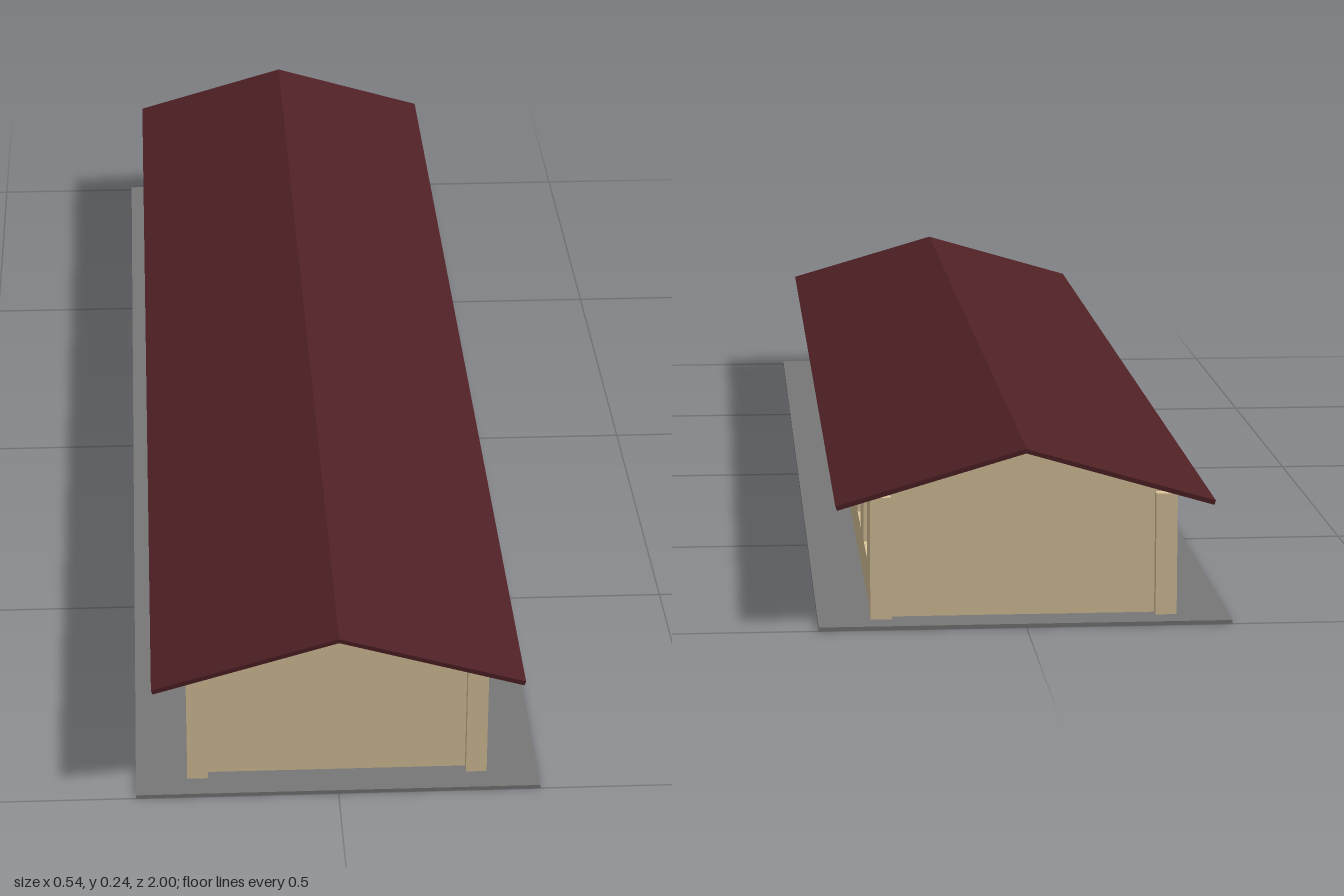
import * as THREE from 'three';

const BASE = 0.005;          // top of the ground slab
const WALL_X = 0.2, CORE_X = 0.188, EAVE = 0.168;

const mat = (color) => new THREE.MeshStandardMaterial({ color, flatShading: true });
const mats = {
  wall: mat(0xddc79e), roof: mat(0x4f2025), slab: mat(0x777777),
  glass: mat(0x525d6a), wood: mat(0x84602c),
};

function add(group, name, geometry, material, x = 0, y = 0, z = 0) {
  const mesh = new THREE.Mesh(geometry, material);
  mesh.name = name;
  mesh.position.set(x, y, z);
  group.add(mesh);
  return mesh;
}

const polygon = (points) => new THREE.Shape(points.map(([x, y]) => new THREE.Vector2(x, y)));
const rect = (x0, x1, y0, y1) => [[x0, y0], [x1, y0], [x1, y1], [x0, y1]];

// Extrusion along z, centred on z = 0
function prism(points, length) {
  const g = new THREE.ExtrudeGeometry(polygon(points), { depth: length, bevelEnabled: false });
  return g.translate(0, 0, -length / 2);
}

// Long outer wall with recessed openings; side is +1 or -1 in x
function longWall(side, openings) {
  const wall = new THREE.Group();
  wall.name = side > 0 ? 'leftWall' : 'rightWall';
  const shape = polygon(rect(-0.94, 0.94, 0.003, EAVE));
  for (const o of openings) {
    shape.holes.push(polygon(rect(o.z - o.w / 2, o.z + o.w / 2, o.y0, o.y1).reverse()));
    if (o.material) {
      add(wall, o.name, new THREE.BoxGeometry(0.004, o.y1 - o.y0, o.w), o.material,
        side * CORE_X, (o.y0 + o.y1) / 2, o.z);
    }
  }
  const g = new THREE.ExtrudeGeometry(shape, { depth: WALL_X - CORE_X, bevelEnabled: false });
  g.rotateY(-Math.PI / 2);
  add(wall, 'wallPanel', g, mats.wall, side > 0 ? WALL_X : -CORE_X);
  return wall;
}

const windowAt = (z, material) => ({ name: 'window', z, w: 0.1, y0: 0.057, y1: 0.138, material });
const doorAt = (name, z, w, material) => ({ name, z, w, y0: BASE, y1: 0.134, material });

export function createModel() {
  const model = new THREE.Group();
  model.name = 'longHouse';

  // Ground slab
  add(model, 'groundSlab', new THREE.BoxGeometry(0.542, BASE, 2), mats.slab, 0, BASE / 2, 0);

  // Solid core whose ends are the gables
  add(model, 'gableCore', prism([
    [-CORE_X, 0.003], [CORE_X, 0.003], [CORE_X, 0.172], [0, 0.229], [-CORE_X, 0.172],
  ], 1.896), mats.wall);

  // Corner posts, standing slightly proud of the walls
  for (const sx of [-1, 1]) for (const sz of [-1, 1]) {
    add(model, 'cornerPost', new THREE.BoxGeometry(0.028, EAVE - 0.003, 0.034), mats.wall,
      sx * 0.188, (EAVE + 0.003) / 2, sz * 0.946);
  }

  // Entrance side: glazed windows, glass entrance, double door, blind windows
  const glazed = [0.785, 0.592, 0.4, 0.207];
  model.add(longWall(1, [
    ...glazed.map((z) => windowAt(z, mats.glass)),
    doorAt('glassEntrance', 0, 0.13, mats.glass),
    doorAt('doorLeaf', -0.174, 0.058, mats.wood),
    doorAt('doorLeaf', -0.239, 0.052, mats.wood),
    ...[-0.398, -0.59, -0.782].map((z) => windowAt(z, null)),
  ]));

  // Rear side: four windows and one door
  model.add(longWall(-1, [
    ...glazed.map((z) => windowAt(z, mats.glass)),
    doorAt('rearDoor', 0.04, 0.055, mats.wood),
  ]));

  // Overhanging pitched roof
  add(model, 'roof', prism([
    [-0.248, 0.164], [-0.246, 0.158], [0, 0.23], [0.246, 0.158], [0.248, 0.164], [0, 0.236],
  ], 1.985), mats.roof);

  return model;
}
